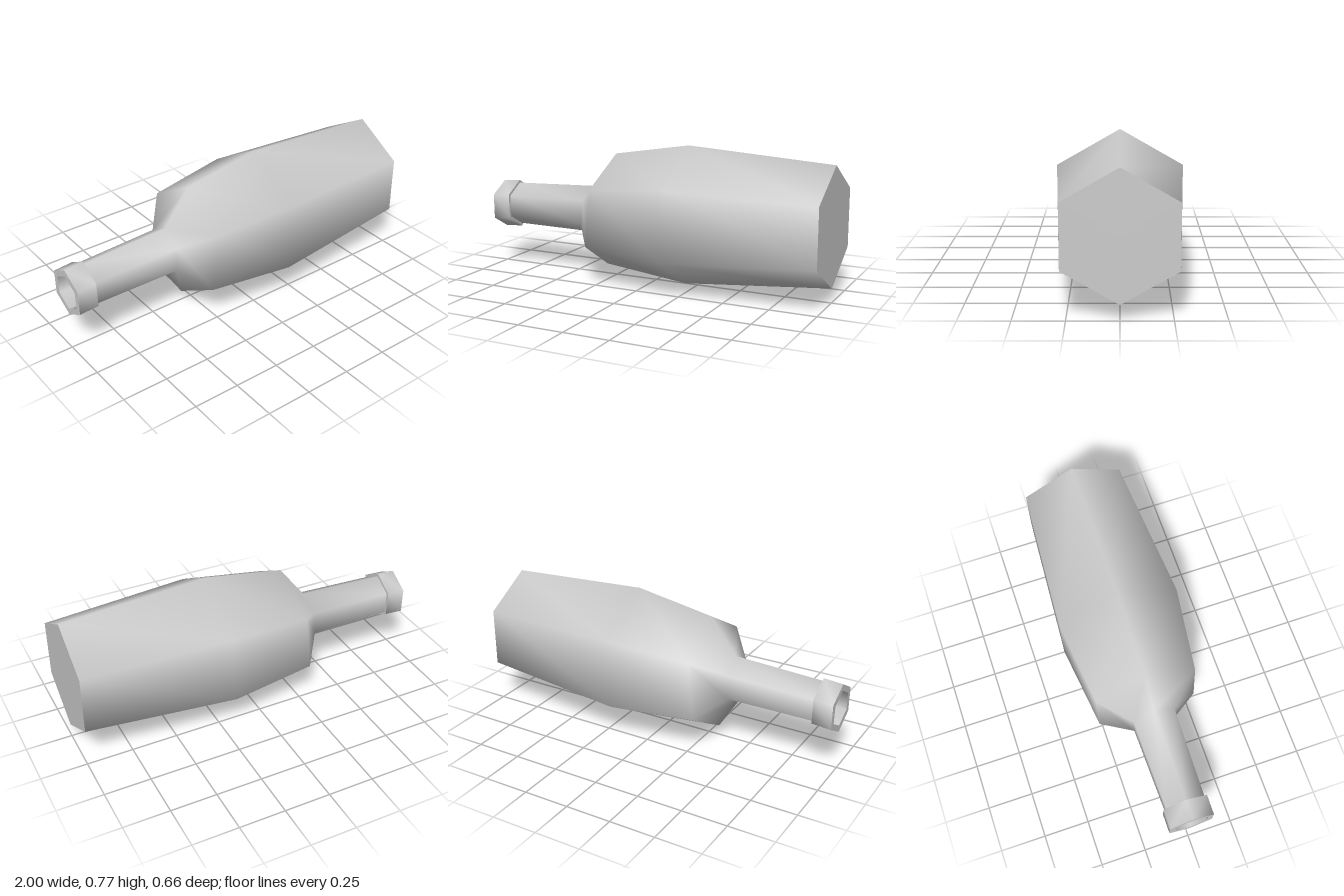
import * as THREE from 'three';

const SIDES = 6;

// Skin through six-sided rings [x, y, radius, lean], listed from the base (+x) to the mouth (-x).
// Lean is the x offset of the top corner; normals are smooth within one skin.
function loft(name, rings, material) {
  const pos = [], index = [];
  for (const [x, y, r, lean] of rings) {
    for (let j = 0; j < SIDES; j++) {
      const a = (j / SIDES) * Math.PI * 2;
      pos.push(x + lean * Math.cos(a), y + r * Math.cos(a), r * Math.sin(a));
    }
  }
  for (let i = 0; i < rings.length - 1; i++) {
    for (let j = 0; j < SIDES; j++) {
      const k = (j + 1) % SIDES;
      const a = i * SIDES + j, b = a + SIDES, c = i * SIDES + k, d = c + SIDES;
      if (rings[i][2] > 0) index.push(a, b, c);
      if (rings[i + 1][2] > 0) index.push(c, b, d);
    }
  }
  const geo = new THREE.BufferGeometry();
  geo.setAttribute('position', new THREE.Float32BufferAttribute(pos, 3));
  geo.setIndex(index);
  geo.computeVertexNormals();
  const mesh = new THREE.Mesh(geo, material);
  mesh.name = name;
  return mesh;
}

export function createModel() {
  const grey = new THREE.MeshStandardMaterial({ color: 0xcccccc });
  grey.name = 'bottleGrey';

  const base = [1, 0.401, 0.32, 0];
  const neckEnd = [-0.892, 0.36, 0.121, -0.003];
  const lipBack = [-0.892, 0.36, 0.137, -0.003];
  const lipFront = [-0.998, 0.352, 0.137, -0.002];
  const boreFront = [-0.998, 0.352, 0.1, -0.002];
  const boreEnd = [-0.45, 0.367, 0.1, 0.008];

  const bottle = new THREE.Group();
  bottle.name = 'bottle';
  bottle.add(
    // flat bottom
    loft('base', [[1, 0.401, 0, 0], base], grey),
    // belly, shoulder and neck
    loft('body', [
      base,
      [0.183, 0.387, 0.383, 0.008],
      [-0.28, 0.378, 0.319, 0.031],
      [-0.411, 0.369, 0.133, 0.011],
      neckEnd,
    ], grey),
    // collar around the mouth
    loft('lipUnderside', [neckEnd, lipBack], grey),
    loft('lip', [lipBack, lipFront], grey),
    loft('rim', [lipFront, boreFront], grey),
    // hollow neck
    loft('bore', [boreFront, boreEnd], grey),
    loft('boreEnd', [boreEnd, [-0.45, 0.367, 0, 0]], grey),
  );
  return bottle;
}
